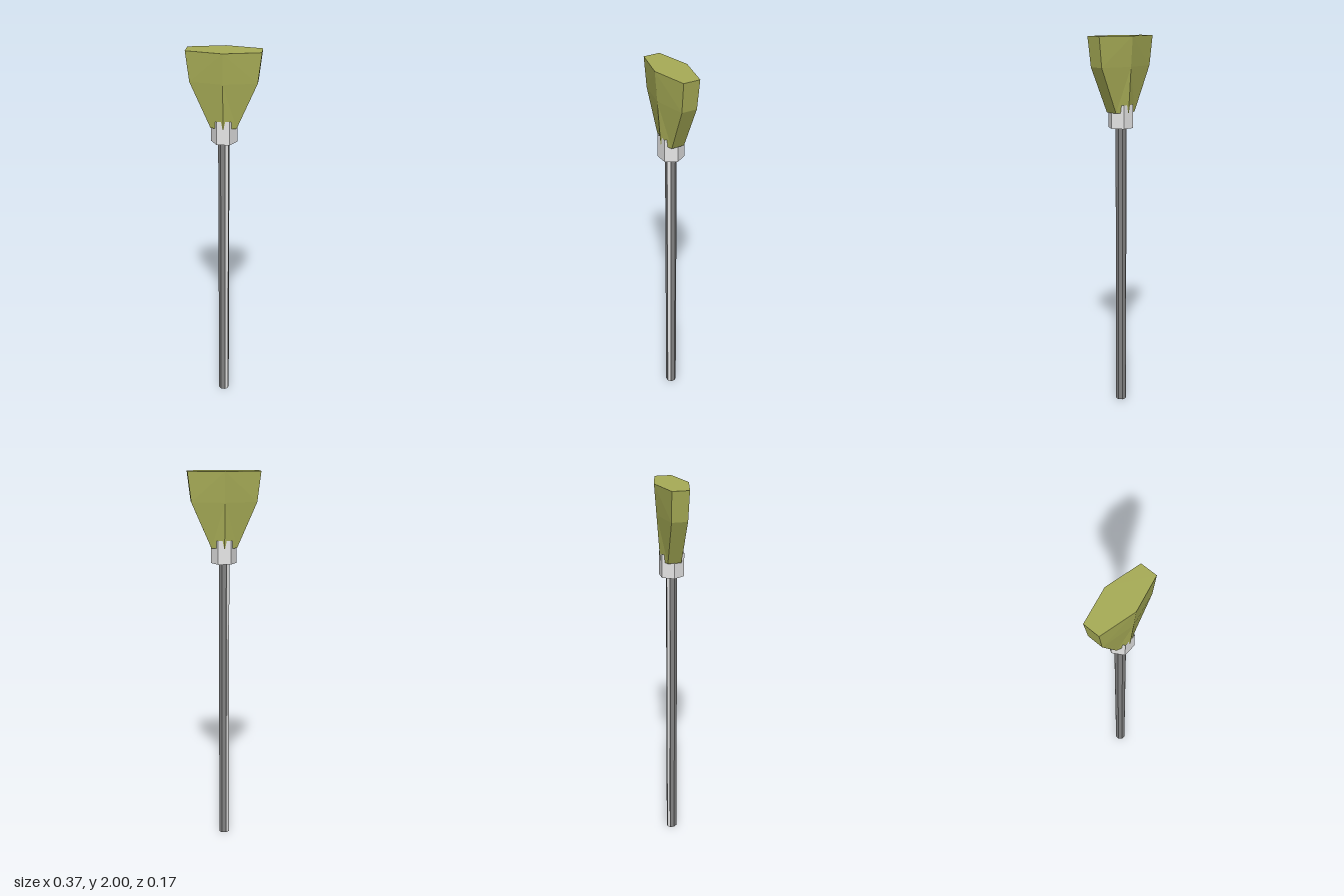
import * as THREE from 'three';

function material(name, color) {
  const m = new THREE.MeshStandardMaterial({ color });
  m.name = name;
  return m;
}

function part(name, geometry, mat, y = 0) {
  const flat = geometry.index ? geometry.toNonIndexed() : geometry;
  flat.computeVertexNormals(); // faceted
  const mesh = new THREE.Mesh(flat, mat);
  mesh.name = name;
  mesh.position.y = y;
  return mesh;
}

// Stretched six-sided bristle section: height, half width, half depth at the ends and in the middle
const section = ([y, w, end, mid]) =>
  [[w, end], [w, -end], [0, -mid], [-w, -end], [-w, end], [0, mid]].map(([x, z]) => [x, y, z]);

// Joins the sections from bottom to top and caps both ends
function loft(levels) {
  const rings = levels.map(section);
  const n = rings[0].length;
  const positions = [];
  const tri = (a, b, c) => positions.push(...a, ...b, ...c);
  for (let r = 0; r < rings.length - 1; r++) {
    for (let i = 0; i < n; i++) {
      const j = (i + 1) % n;
      const [a, b, c, d] = [rings[r][i], rings[r][j], rings[r + 1][j], rings[r + 1][i]];
      // Mirrored folds that keep the middle ridge sharp
      if (i % 3 === 2) {
        tri(a, b, d);
        tri(b, c, d);
      } else {
        tri(a, b, c);
        tri(a, c, d);
      }
    }
  }
  const bottom = rings[0], top = rings[rings.length - 1];
  for (let i = 1; i < n - 1; i++) {
    tri(top[0], top[i], top[i + 1]);
    tri(bottom[0], bottom[i + 1], bottom[i]);
  }
  const g = new THREE.BufferGeometry();
  g.setAttribute('position', new THREE.Float32BufferAttribute(positions, 3));
  return g;
}

export function createModel() {
  const straw = material('olive straw', 0xa7ac56);
  const metal = material('light grey collar', 0xe6e6e6);
  metal.side = THREE.DoubleSide;
  const shaft = material('grey handle', 0x828282);

  const broom = new THREE.Group();
  broom.name = 'broom';

  // Long eight-sided handle with a pale strip on two opposite faces
  const handle = new THREE.Group();
  handle.name = 'handle';
  handle.position.x = -0.002;
  handle.rotation.y = THREE.MathUtils.degToRad(40);
  const rod = part('rod',
    new THREE.CylinderGeometry(0.029, 0.029, 1.62, 8, 1, false, Math.PI / 8), shaft, 0.81);
  handle.add(rod);
  for (const side of [1, -1]) {
    const strip = part('paleStrip', new THREE.BoxGeometry(0.014, 1.56, 0.004), metal, 0.78);
    strip.position.z = side * 0.0255;
    handle.add(strip);
  }

  // Open hexagonal collar, flat to the front
  const collar = part('collar',
    new THREE.CylinderGeometry(0.066, 0.066, 0.12, 6, 1, true, Math.PI / 6), metal, 1.6);

  // Flared bristle head, its foot sunk in the collar
  const bristles = part('bristles', loft([
    [1.62, 0.065, 0.034, 0.058],
    [1.85, 0.165, 0.04, 0.075],
    [2.0, 0.183, 0.043, 0.086],
  ]), straw);

  broom.add(handle, collar, bristles);
  return broom;
}
